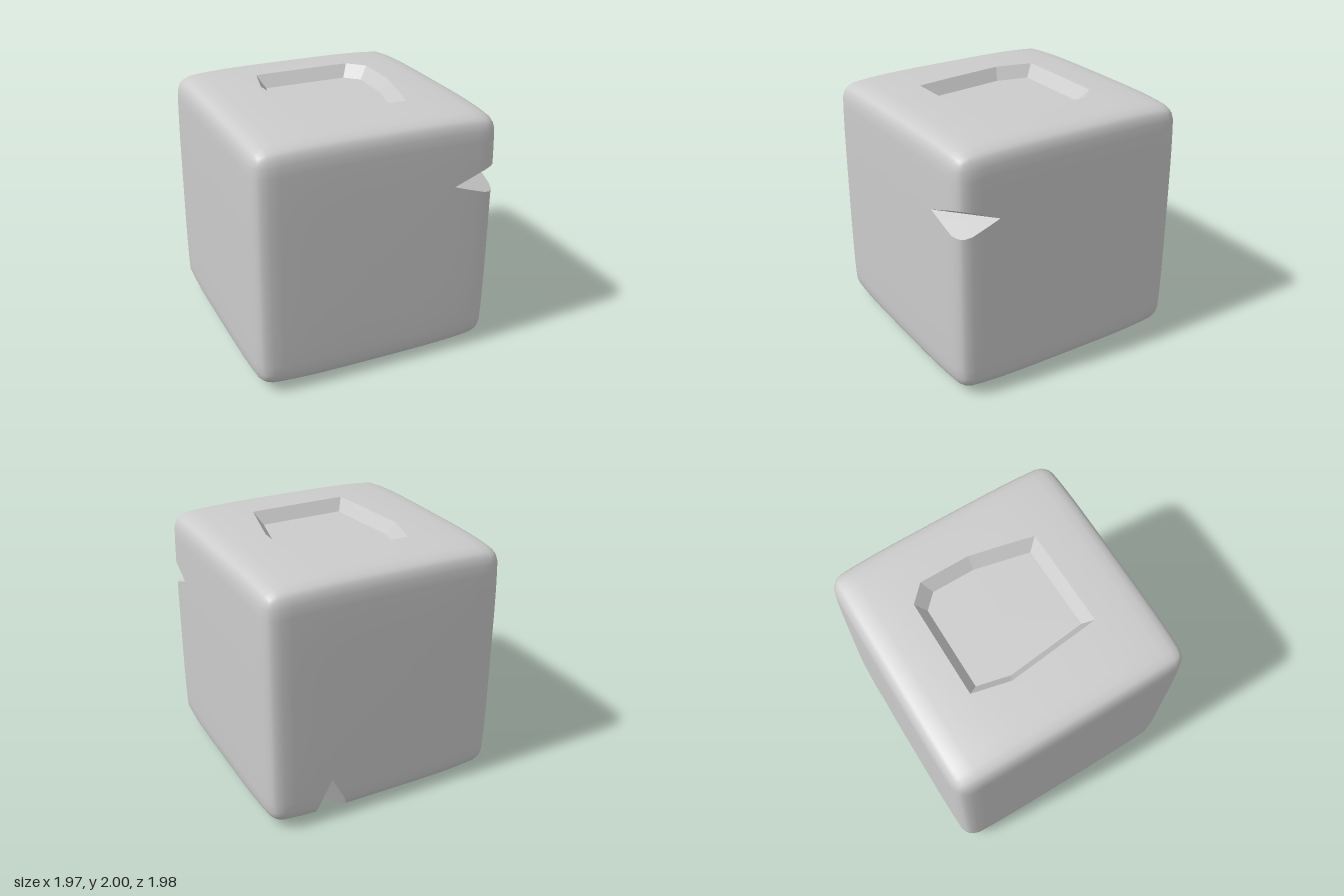
import * as THREE from 'three';
import { mergeVertices } from 'three/addons/utils/BufferGeometryUtils.js';

const V = (x, y, z) => new THREE.Vector3(x, y, z);
const EPS = 1e-5;

// Rounded block whose faces bulge slightly, most on top and bottom
function roundedBlock() {
  const radius = 0.12, core = 1 - radius;
  let geo = new THREE.BoxGeometry(2, 2, 2, 20, 20, 20);
  geo.deleteAttribute('uv');
  geo.deleteAttribute('normal');
  geo = mergeVertices(geo);
  const pos = geo.attributes.position;
  const p = V(0, 0, 0), c = V(0, 0, 0);
  for (let i = 0; i < pos.count; i++) {
    p.fromBufferAttribute(pos, i);
    for (const k of ['x', 'y', 'z']) p[k] = Math.sin(p[k] * Math.PI / 2);
    c.copy(p).clampScalar(-core, core);
    p.sub(c).setLength(p.length() > 0 ? radius : 0).add(c);
    const x4 = p.x ** 4, y4 = p.y ** 4, z4 = p.z ** 4;
    pos.setXYZ(i,
      0.985 * p.x * (1 - 0.012 * (y4 + z4)),
      1 + p.y * (1 - 0.035 * (x4 + z4)),
      0.99 * p.z * (1 - 0.012 * (x4 + y4)));
  }
  geo.computeVertexNormals();
  const normal = geo.attributes.normal, index = geo.index.array, faces = [];
  for (let i = 0; i < index.length; i += 3) {
    faces.push([0, 1, 2].map(j => ({
      p: V(0, 0, 0).fromBufferAttribute(pos, index[i + j]),
      n: V(0, 0, 0).fromBufferAttribute(normal, index[i + j]),
    })));
  }
  return faces;
}

// Plane through three points, with the given inner point on its negative side
function planeAround(a, b, c, inner) {
  const plane = new THREE.Plane().setFromCoplanarPoints(a, b, c);
  return plane.distanceToPoint(inner) > 0 ? plane.negate() : plane;
}

// Part of a convex polygon on one side of a plane
function clip(poly, plane, side) {
  const out = [];
  poly.forEach((a, i) => {
    const b = poly[(i + 1) % poly.length];
    const da = side * plane.distanceToPoint(a.p), db = side * plane.distanceToPoint(b.p);
    if (da >= 0) out.push(a);
    if (da * db < 0) {
      const t = da / (da - db);
      out.push({ p: a.p.clone().lerp(b.p, t), n: a.n.clone().lerp(b.n, t).normalize() });
    }
  });
  return out.length > 2 ? out : null;
}

// Cut a convex region out of the faces; returns the remaining faces and the new walls
function carve(faces, planes, corners = []) {
  const kept = [];
  for (const face of faces) {
    const pieces = [];
    let rest = face;
    for (const plane of planes) {
      const outside = clip(rest, plane, 1);
      if (outside) pieces.push(outside);
      rest = clip(rest, plane, -1);
      if (!rest) break;
    }
    if (rest) kept.push(...pieces);
    else kept.push(face);
  }
  const points = [...corners, ...kept.flat().map(v => v.p)]
    .filter(p => planes.every(q => q.distanceToPoint(p) < EPS));
  const walls = [];
  for (const plane of planes) {
    const rim = points.filter(p => Math.abs(plane.distanceToPoint(p)) < EPS);
    if (rim.length < 3) continue;
    const n = plane.normal.clone().negate();
    const mid = new THREE.Box3().setFromPoints(rim).getCenter(V(0, 0, 0));
    const u = V(0, 0, 0).crossVectors(n, Math.abs(n.y) < 0.9 ? V(0, 1, 0) : V(1, 0, 0)).normalize();
    const w = V(0, 0, 0).crossVectors(n, u);
    const angle = p => Math.atan2(p.clone().sub(mid).dot(w), p.clone().sub(mid).dot(u));
    rim.sort((a, b) => angle(a) - angle(b));
    rim.forEach((p, i) => walls.push([mid, p, rim[(i + 1) % rim.length]].map(q => ({ p: q, n }))));
  }
  return { kept, walls };
}

// Wedge: a valley line from tip to tip, opening to two points on the block's edge
function wedge(tipA, tipB, openA, openB) {
  const inner = openA.clone().add(openB).multiplyScalar(0.5);
  return [planeAround(tipA, tipB, openA, inner), planeAround(tipA, tipB, openB, inner)];
}

function toMesh(name, faces, material) {
  const position = [], normal = [];
  for (const face of faces) {
    for (let i = 1; i < face.length - 1; i++) {
      for (const v of [face[0], face[i], face[i + 1]]) {
        position.push(...v.p.toArray());
        normal.push(...v.n.toArray());
      }
    }
  }
  const geo = new THREE.BufferGeometry();
  geo.setAttribute('position', new THREE.Float32BufferAttribute(position, 3));
  geo.setAttribute('normal', new THREE.Float32BufferAttribute(normal, 3));
  const mesh = new THREE.Mesh(geo, material);
  mesh.name = name;
  return mesh;
}

export function createModel() {
  const group = new THREE.Group();
  group.name = 'chippedBlock';
  const material = new THREE.MeshStandardMaterial({ color: 0xcccccc });

  // Shallow sunken panel in the top, with sloping sides
  const floorY = 1.9, center = V(0, 2, 0);
  const floor = [[-0.34, -0.46], [0.35, -0.46], [0.46, -0.35], [0.46, 0], [0.36, 0.44], [-0.33, 0.45], [-0.4, -0.2]]
    .map(([x, z]) => V(x, floorY, z));
  const recess = floor.map((a, i) => {
    const b = floor[(i + 1) % floor.length];
    const rim = a.clone().add(b).multiplyScalar(0.5 * 1.17).setY(2);
    return planeAround(a, b, rim, center);
  });
  recess.push(planeAround(floor[0], floor[2], floor[4], center));

  const cuts = [
    { name: 'topRecess', planes: recess, corners: floor },
    // Chip in the front left upright edge
    { name: 'frontEdgeChip', planes: wedge(V(0.6, 1.445, 0.985), V(0.982, 1.445, 0.65), V(0.96, 1.57, 0.96), V(0.96, 1.33, 0.96)) },
    // Chip in the bottom back edge
    { name: 'bottomEdgeChip', planes: wedge(V(0.48, 0.35, -0.985), V(0.46, 0.005, -0.66), V(0.62, 0.04, -0.95), V(0.33, 0.04, -0.95)) },
  ];

  let faces = roundedBlock();
  for (const { name, planes, corners } of cuts) {
    const { kept, walls } = carve(faces, planes, corners);
    faces = kept;
    group.add(toMesh(name, walls, material));
  }
  group.add(toMesh('block', faces, material));
  return group;
}
